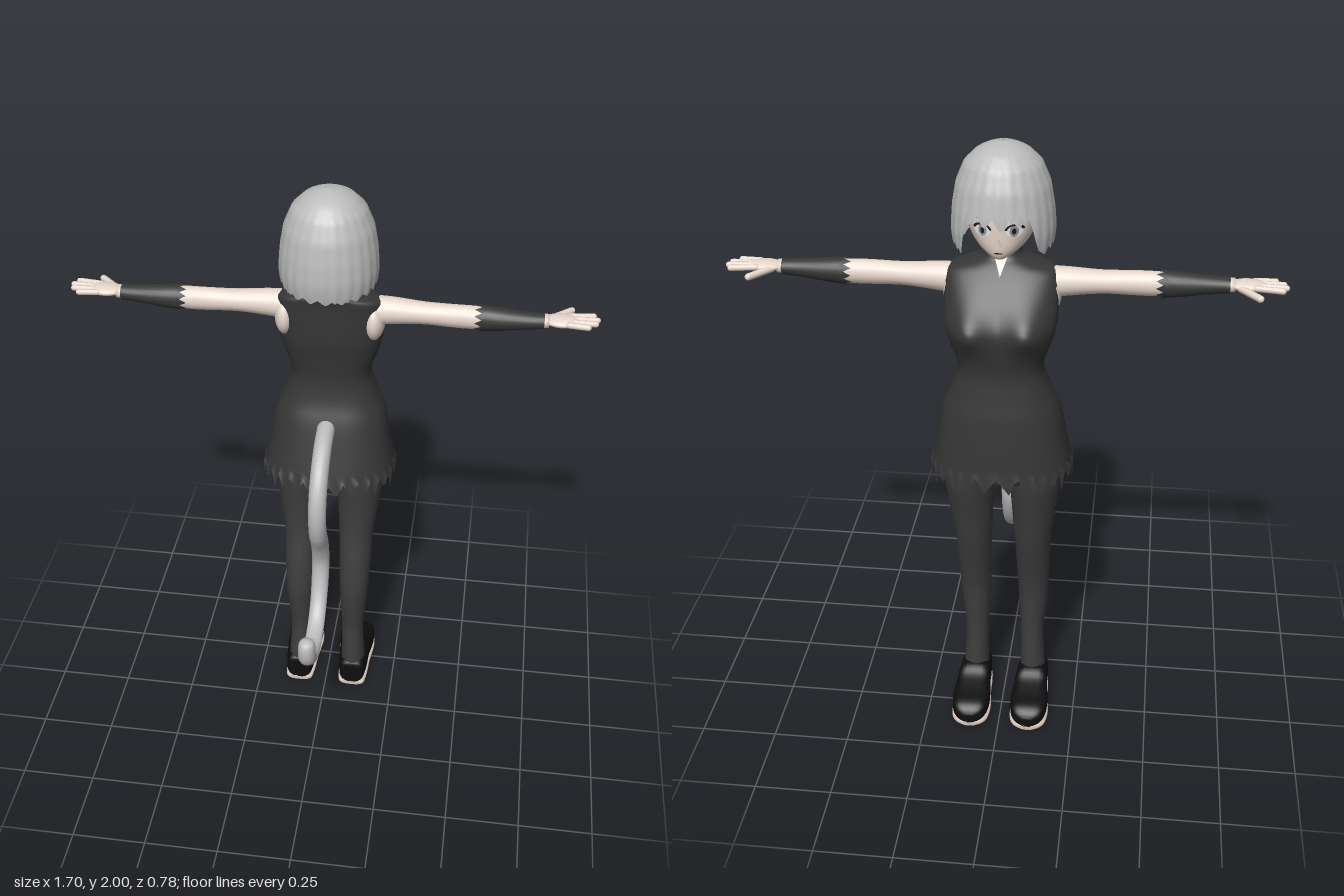
import * as THREE from 'three';

const mat = (name, color, side = THREE.FrontSide) => {
  const m = new THREE.MeshStandardMaterial({ color, side });
  m.name = name;
  return m;
};
const M = {
  skin: mat('skin', 0xe8d8cd, THREE.DoubleSide),
  dress: mat('dress charcoal', 0x363636, THREE.DoubleSide),
  tights: mat('tights charcoal', 0x3e3e3e),
  shoe: mat('shoe black', 0x0e0e0e),
  sole: mat('sole cream', 0xd8c4b8),
  hair: mat('hair grey', 0xbcbcbc, THREE.DoubleSide),
  white: mat('eye white', 0xf2f2f2, THREE.DoubleSide),
  iris: mat('iris grey', 0x8c9096, THREE.DoubleSide),
  dark: mat('lash dark', 0x1c1a1a, THREE.DoubleSide),
};
const V = (x, y, z) => new THREE.Vector3(x, y, z);
const TAU = Math.PI * 2;
const spow = (v, p) => Math.sign(v) * Math.abs(v) ** p;
const bell = (v, w) => Math.exp(-((v / w) ** 2));

// Smoothly resample a table of cross-sections
function resample(rows, steps) {
  const out = [], last = rows.length - 1;
  for (let i = 0; i <= last * steps; i++) {
    const k = Math.min(Math.floor(i / steps), last - 1), t = i / steps - k;
    const [a, b, c, d] = [-1, 0, 1, 2].map(o => rows[Math.max(0, Math.min(last, k + o))]);
    out.push(b.map((v, n) => v + 0.5 * t * (c[n] - a[n] +
      t * (2 * a[n] - 5 * v + 4 * c[n] - d[n] + t * (3 * (v - c[n]) + d[n] - a[n])))));
  }
  return out;
}

// Skin closed rings of points into a surface that faces outward
function loft(rings, cap = true) {
  const n = rings[0].length, pts = rings.flat(), idx = [];
  for (let i = 0; i < rings.length - 1; i++)
    for (let j = 0; j < n; j++) {
      const a = i * n + j, b = i * n + (j + 1) % n;
      idx.push(a, b, a + n, b, b + n, a + n);
    }
  if (cap) [0, rings.length - 1].forEach((r, e) => {
    const c = rings[r].reduce((s, p) => s.add(p), V(0, 0, 0)).divideScalar(n);
    const ci = pts.push(c) - 1;
    for (let j = 0; j < n; j++) {
      const a = r * n + j, b = r * n + (j + 1) % n;
      e ? idx.push(a, b, ci) : idx.push(b, a, ci);
    }
  });
  const mid = pts.reduce((s, p) => s.add(p), V(0, 0, 0)).divideScalar(pts.length);
  let vol = 0;
  for (let i = 0; i < idx.length; i += 3) {
    const [a, b, c] = [0, 1, 2].map(k => pts[idx[i + k]].clone().sub(mid));
    vol += a.dot(b.cross(c));
  }
  if (vol < 0) idx.reverse();
  const g = new THREE.BufferGeometry().setFromPoints(pts);
  g.setIndex(idx);
  g.computeVertexNormals();
  return g;
}
const ring = (n, f) => Array.from({ length: n }, (_, j) => f(Math.cos(j / n * TAU), Math.sin(j / n * TAU), j));
// Horizontal section: [y, half width, front z, back z, centre x]
const flatRing = ([y, w, zf, zb, cx = 0], n, p = 1) =>
  ring(n, (c, s) => V(cx + w * spow(c, p), y, (zf + zb) / 2 + (zb - zf) / 2 * spow(s, p)));
// Section across an arm: [x, centre y, centre z, half height, half depth]
const armRing = ([x, y, z, h, d], side, n = 20) => ring(n, (c, s) => V(side * x, y + h * c, z + d * s));

export function createModel() {
  const root = new THREE.Group();
  const add = (name, geo, m) => {
    const mesh = new THREE.Mesh(geo, m);
    mesh.name = name;
    root.add(mesh);
    return mesh;
  };

  // Dress with bust and ragged hem
  const dressRows = [
    [1.69, 0.052, -0.212, -0.112], [1.66, 0.06, -0.222, -0.106], [1.643, 0.11, -0.238, -0.108],
    [1.625, 0.163, -0.255, -0.112], [1.59, 0.172, -0.285, -0.114], [1.53, 0.172, -0.325, -0.114],
    [1.47, 0.17, -0.354, -0.116], [1.41, 0.155, -0.355, -0.126], [1.33, 0.131, -0.343, -0.135],
    [1.25, 0.155, -0.35, -0.122], [1.18, 0.184, -0.36, -0.095], [1.08, 0.202, -0.369, -0.065],
    [1.0, 0.217, -0.375, -0.042]];
  const N = 112;
  const dress = resample(dressRows, 4).map(r => flatRing(r, N, 0.8));
  dress.push(flatRing([0.92, 0.227, -0.38, -0.03], N, 0.8).map((p, j) =>
    V(p.x, 0.99 - [0, 0.03, 0.065, 0.03][j % 4] * (0.8 + 0.3 * Math.sin(j * 2.3)), p.z)));
  dress.flat().forEach(p => {
    if (p.z < -0.23) p.z -= 0.038 * bell(Math.abs(p.x) - 0.09, 0.055) * bell(p.y - 1.475, 0.06);
  });
  add('dress', loft(dress, false), M.dress);

  // Neck and small neckline opening
  add('neck', loft([[1.6, 0.05, -0.215, -0.12], [1.66, 0.043, -0.207, -0.125],
    [1.73, 0.045, -0.22, -0.125]].map(r => flatRing(r, 20))), M.skin);
  const notch = new THREE.ShapeGeometry(new THREE.Shape(
    [[-0.026, 1.688], [0, 1.618], [0.026, 1.688]].map(p => new THREE.Vector2(...p))));
  const np = notch.attributes.position;
  for (let i = 0; i < np.count; i++) np.setZ(i, -0.22 - (1.69 - np.getY(i)) * 0.62);
  notch.computeVertexNormals();
  add('neckline', notch, M.skin);

  // Head
  add('head', loft(resample([[1.678, 0.012, -0.275, -0.245], [1.688, 0.035, -0.289, -0.19],
    [1.715, 0.073, -0.298, -0.11], [1.76, 0.1, -0.302, -0.075], [1.82, 0.112, -0.303, -0.055],
    [1.89, 0.105, -0.285, -0.06], [1.94, 0.06, -0.23, -0.1]], 4).map(r => flatRing(r, 32))), M.skin);
  const nose = add('nose', new THREE.ConeGeometry(0.011, 0.03, 10), M.skin);
  nose.position.set(0, 1.742, -0.302);
  nose.rotation.x = -0.45;

  // Face details laid on the curve of the face
  const onFace = (name, m, cx, cy, w, h, lift, inner = 0, start = 0, len = TAU) => {
    const g = new THREE.RingGeometry(inner, 1, 24, 4, start, len);
    const p = g.attributes.position;
    for (let i = 0; i < p.count; i++) {
      const x = cx + p.getX(i) * w, y = cy + p.getY(i) * h;
      p.setXYZ(i, x, y, -0.189 - 0.113 * Math.sqrt(1 - (x / 0.104) ** 2) - lift);
    }
    g.computeVertexNormals();
    add(name, g, m);
  };
  for (const s of [1, -1]) {
    onFace('eyeWhite', M.white, s * 0.047, 1.775, 0.024, 0.018, 0.003);
    onFace('iris', M.iris, s * 0.046, 1.775, 0.013, 0.017, 0.005);
    onFace('pupil', M.dark, s * 0.046, 1.775, 0.006, 0.009, 0.007);
    onFace('eyelash', M.dark, s * 0.047, 1.775, 0.029, 0.022, 0.006, 0.75, 0.2, Math.PI - 0.4);
    onFace('eyebrow', M.iris, s * 0.047, 1.798, 0.027, 0.014, 0.004, 0.82, 0.6, Math.PI - 1.2);
  }
  onFace('mouth', M.dark, 0, 1.708, 0.013, 0.002, 0.003);

  // Bobbed hair: shells with jagged lock tips, raised over the face
  const bob = [[2, 0.004], [1.992, 0.045], [1.975, 0.08], [1.94, 0.115], [1.88, 0.14], [1.81, 0.152],
    [1.75, 0.156], [1.71, 0.152], [1.67, 0.142]];
  const radiusAt = y => {
    const k = Math.max(1, bob.findIndex(b => b[0] <= y));
    const [a, b] = [bob[k - 1], bob[k]];
    return a[1] + (b[1] - a[1]) * (a[0] - y) / (a[0] - b[0]);
  };
  const hairShell = (name, scale, lift, locks, phase) => {
    const n = 144, rows = 24;
    const rings = Array.from({ length: rows + 1 }, (_, i) => ring(n, (c, s, j) => {
      const front = Math.abs(Math.atan2(c, -s));
      const wave = Math.abs(((j * locks / n + phase) % 1) * 2 - 1);
      const side = THREE.MathUtils.smoothstep(front, 0.62, 0.95);
      const end = THREE.MathUtils.lerp(1.788 + lift, 1.685 + lift * 0.3, side)
        + wave * (0.034 - 0.016 * side) - 0.012 * bell(front, 0.15);
      const t = i / rows, y = 2 - (2 - end) * t ** 1.5;
      const r = radiusAt(y) * scale * (1 + 0.022 * t * (0.5 - wave));
      return V(r * c, y - (1 - scale) * 0.15, -0.161 + r * s * 1.03);
    }));
    add(name, loft(rings, false), M.hair);
  };
  hairShell('hairOuter', 1, 0.012, 24, 0.5);
  hairShell('hairInner', 0.965, 0, 18, 0.2);

  // Tail
  const path = resample([[-0.13, 1.175, 0.028, 0.03], [-0.02, 1.15, 0.03, 0.03], [0.075, 1.075, 0.032, 0.03],
    [0.113, 0.98, 0.031, 0.03], [0.098, 0.885, 0.034, 0.03], [0.05, 0.8, 0.034, 0.03],
    [0.024, 0.715, 0.032, 0.03], [0.04, 0.635, 0.028, 0.03], [0.082, 0.562, 0.023, 0.029],
    [0.145, 0.513, 0.018, 0.029], [0.23, 0.497, 0.016, 0.029], [0.31, 0.518, 0.021, 0.029],
    [0.353, 0.56, 0.03, 0.029], [0.359, 0.605, 0.033, 0.029], [0.357, 0.63, 0.025, 0.023],
    [0.356, 0.64, 0.004, 0.004]], 4);
  add('tail', loft(path.map(([z, y, r, w], i) => {
    const a = path[Math.max(0, i - 1)], b = path[Math.min(path.length - 1, i + 1)];
    const dz = b[0] - a[0], dy = b[1] - a[1], l = Math.hypot(dz, dy);
    return ring(18, (c, s) => V(w * c, y - r * s * dz / l, z + r * s * dy / l));
  })), M.hair);

  // Hips under the skirt
  add('hips', loft(resample([[0.91, 0.03, -0.27, -0.15], [0.93, 0.13, -0.32, -0.1],
    [0.99, 0.175, -0.34, -0.085], [1.1, 0.17, -0.33, -0.1]], 3).map(r => flatRing(r, 28))), M.tights);

  for (const s of [1, -1]) {
    // Leg
    add('leg', loft(resample([[0.07, 0.045, -0.205, -0.092, 0.1], [0.14, 0.042, -0.206, -0.093, 0.098],
      [0.26, 0.039, -0.2, -0.103, 0.095], [0.36, 0.046, -0.204, -0.093, 0.097],
      [0.46, 0.052, -0.212, -0.085, 0.098], [0.58, 0.057, -0.24, -0.098, 0.098],
      [0.68, 0.061, -0.265, -0.116, 0.098], [0.79, 0.071, -0.288, -0.119, 0.102],
      [0.92, 0.082, -0.32, -0.108, 0.105], [1.0, 0.08, -0.32, -0.1, 0.1]], 4)
      .map(([y, w, f, b, x]) => flatRing([y, w, f, b, s * x], 24))), M.tights);

    // Shoe and sole: [z, half width, top]
    const last = resample([[-0.087, 0.03, 0.09], [-0.098, 0.046, 0.112], [-0.15, 0.053, 0.116],
      [-0.205, 0.055, 0.128], [-0.245, 0.059, 0.104], [-0.3, 0.064, 0.088], [-0.35, 0.058, 0.078],
      [-0.375, 0.042, 0.062], [-0.386, 0.018, 0.045]], 4);
    const footLoft = (bottom, top, grow) => loft(last.map(([z, w, h]) => {
      const t = top ?? h;
      return ring(24, (c, q) => V(s * 0.1 + (w + grow) * spow(c, 0.6),
        (t + bottom) / 2 + (t - bottom) / 2 * spow(q, 0.6), z));
    }));
    add('shoe', footLoft(0.014, null, 0), M.shoe);
    add('sole', footLoft(0, 0.018, 0.002), M.sole);

    // Arm, with the shoulder showing in the armhole
    const shoulder = add('shoulder', new THREE.SphereGeometry(1, 24, 16), M.skin);
    shoulder.scale.set(0.036, 0.073, 0.07);
    shoulder.position.set(s * 0.143, 1.55, -0.193);
    add('arm', loft(resample([[0.13, 1.58, -0.188, 0.05, 0.046], [0.2, 1.584, -0.188, 0.044, 0.043],
      [0.3, 1.585, -0.184, 0.036, 0.037], [0.4, 1.584, -0.18, 0.038, 0.034],
      [0.47, 1.584, -0.18, 0.037, 0.034], [0.6, 1.587, -0.178, 0.026, 0.028],
      [0.69, 1.59, -0.179, 0.02, 0.027]], 4).map(r => armRing(r, s))), M.skin);

    // Ragged wrist warmer
    const cuff = resample([[0.485, 1.584, -0.181, 0.042, 0.039], [0.54, 1.585, -0.179, 0.037, 0.037],
      [0.61, 1.587, -0.178, 0.029, 0.032], [0.675, 1.589, -0.179, 0.024, 0.029]], 3).map(r => armRing(r, s, 24));
    cuff.unshift(armRing([0.47, 1.584, -0.181, 0.044, 0.04], s, 24)
      .map((p, j) => V(p.x + s * (j % 2 ? 0.01 : -0.012), p.y, p.z)));
    add('wristWarmer', loft(cuff, false), M.dress);

    // Hand
    const palm = add('palm', new THREE.SphereGeometry(1, 20, 14), M.skin);
    palm.scale.set(0.057, 0.016, 0.038);
    palm.position.set(s * 0.728, 1.592, -0.182);
    const finger = (name, a, b, r) => {
      const dir = b.clone().sub(a);
      const f = add(name, new THREE.CapsuleGeometry(r, dir.length() - r, 4, 10), M.skin);
      f.position.copy(a).add(b).multiplyScalar(0.5);
      f.quaternion.setFromUnitVectors(V(0, 1, 0), dir.normalize());
    };
    [[-0.222, 0.832], [-0.197, 0.844], [-0.172, 0.838], [-0.147, 0.815]].forEach(([z, tip], i) =>
      finger('finger', V(s * 0.745, 1.594, -0.21 + i * 0.019), V(s * tip, 1.593, z), 0.0095));
    finger('thumb', V(s * 0.7, 1.59, -0.2), V(s * 0.764, 1.584, -0.268), 0.011);
  }
  return root;
}
